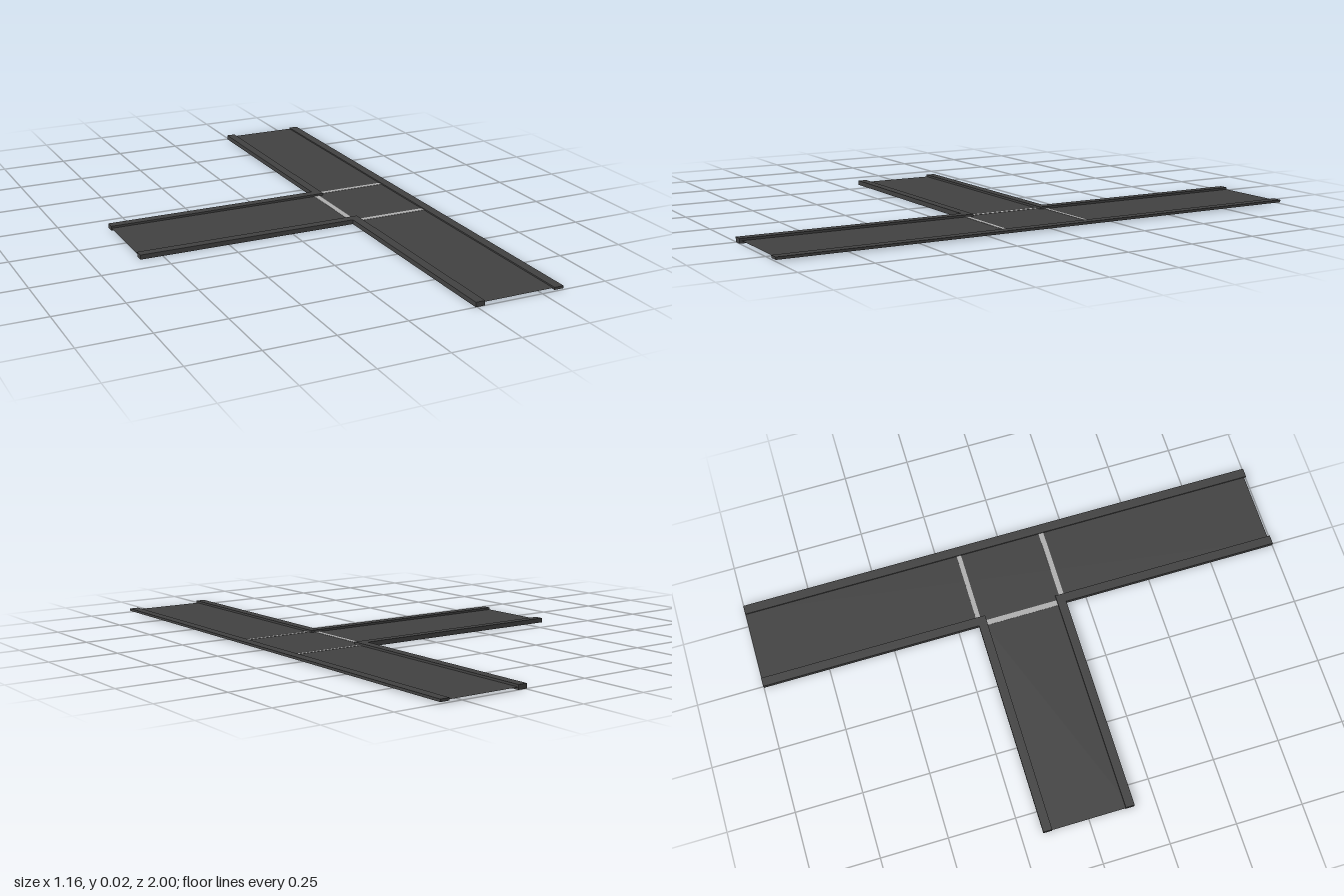
import * as THREE from 'three';

export function createModel() {
  const model = new THREE.Group();
  model.name = 'roadJunction';
  const asphalt = new THREE.MeshStandardMaterial({ color: 0x424242, side: THREE.DoubleSide });
  asphalt.name = 'asphalt grey';
  const paint = new THREE.MeshStandardMaterial({ color: 0xb0b0b0 });
  paint.name = 'line paint grey';

  // Box given by its limits on each axis
  function slab(name, material, [x0, x1], [y0, y1], [z0, z1]) {
    const mesh = new THREE.Mesh(new THREE.BoxGeometry(x1 - x0, y1 - y0, z1 - z0), material);
    mesh.position.set((x0 + x1) / 2, (y0 + y1) / 2, (z0 + z1) / 2);
    mesh.name = name;
    model.add(mesh);
  }

  // Flat sheet of road surface
  const roadY = 0.009;
  function sheet(name, [x0, x1], [z0, z1]) {
    const geometry = new THREE.PlaneGeometry(x1 - x0, z1 - z0).rotateX(-Math.PI / 2);
    const mesh = new THREE.Mesh(geometry, asphalt);
    mesh.position.set((x0 + x1) / 2, roadY, (z0 + z1) / 2);
    mesh.name = name;
    model.add(mesh);
  }
  sheet('mainRoad', [0.262, 0.56], [-1, 0.992]);
  sheet('sideRoad', [-0.582, 0.262], [-0.155, 0.155]);

  // Kerbs: a lower one along the far side, taller ones round both corners
  const kerbY = [0, 0.017];
  slab('farKerb', asphalt, [0.547, 0.582], [0.005, 0.014], [-1, 1]);
  for (const s of [-1, 1]) {
    const span = (a, b) => (s > 0 ? [a, b] : [-b, -a]);
    slab('mainKerb', asphalt, [0.245, 0.279], kerbY, span(0.138, 1));
    slab('sideKerb', asphalt, [-0.582, 0.245], kerbY, span(0.138, 0.171));
  }

  // Stop lines on the three arms
  const lineY = [roadY - 0.001, roadY + 0.001];
  slab('sideStopLine', paint, [0.241, 0.262], lineY, [-0.138, 0.138]);
  slab('backStopLine', paint, [0.279, 0.547], lineY, [-0.174, -0.157]);
  slab('frontStopLine', paint, [0.279, 0.547], lineY, [0.153, 0.172]);

  return model;
}
